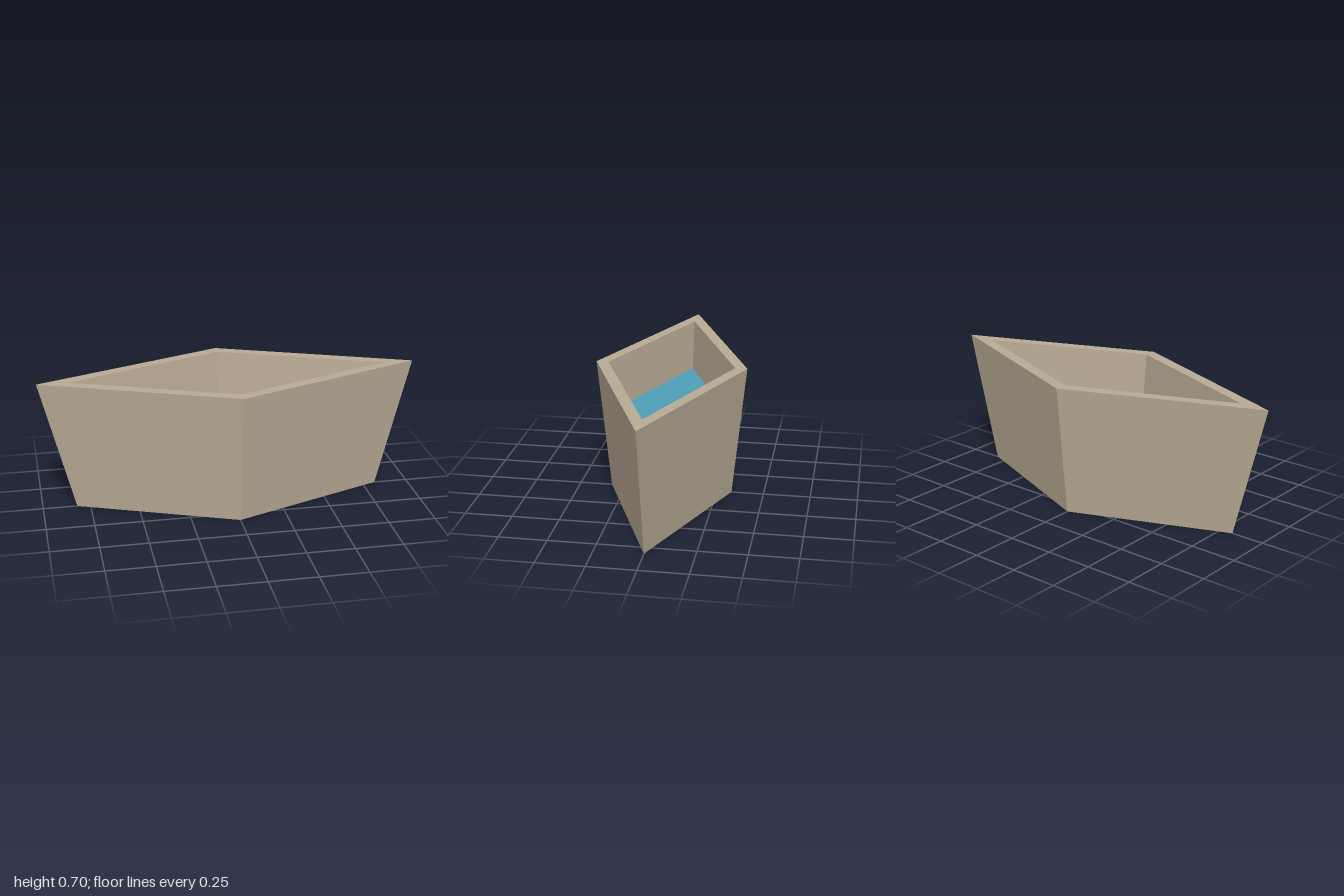
import * as THREE from 'three';

const DEPTH = 0.4; // half depth of the diamond relative to half width

// Four-sided lathe squashed into a diamond, with hard facets
function diamondLathe(profile) {
  const points = profile.map(([r, y]) => new THREE.Vector2(r, y));
  const geometry = new THREE.LatheGeometry(points, 4).scale(1, 1, DEPTH).toNonIndexed();
  geometry.computeVertexNormals();
  return geometry;
}

export function createModel() {
  const stone = new THREE.MeshStandardMaterial({ color: 0xb8aa94 });
  stone.name = 'stone';
  const waterBlue = new THREE.MeshStandardMaterial({ color: 0x4f9fb8 });
  waterBlue.name = 'water blue';

  const model = new THREE.Group();
  model.name = 'diamondBasin';

  // Tapered basin: underside, outer walls, flat rim, inner walls, floor
  const basin = new THREE.Mesh(
    diamondLathe([[0, 0], [0.82, 0], [1, 0.7], [0.84, 0.7], [0.771, 0.43], [0, 0.43]]),
    stone
  );
  basin.name = 'basin';

  // Water surface just above the floor
  const surface = new THREE.CircleGeometry(0.772, 4).rotateX(-Math.PI / 2).scale(1, 1, DEPTH);
  const water = new THREE.Mesh(surface, waterBlue);
  water.name = 'water';
  water.position.y = 0.436;

  model.add(basin, water);
  return model;
}
